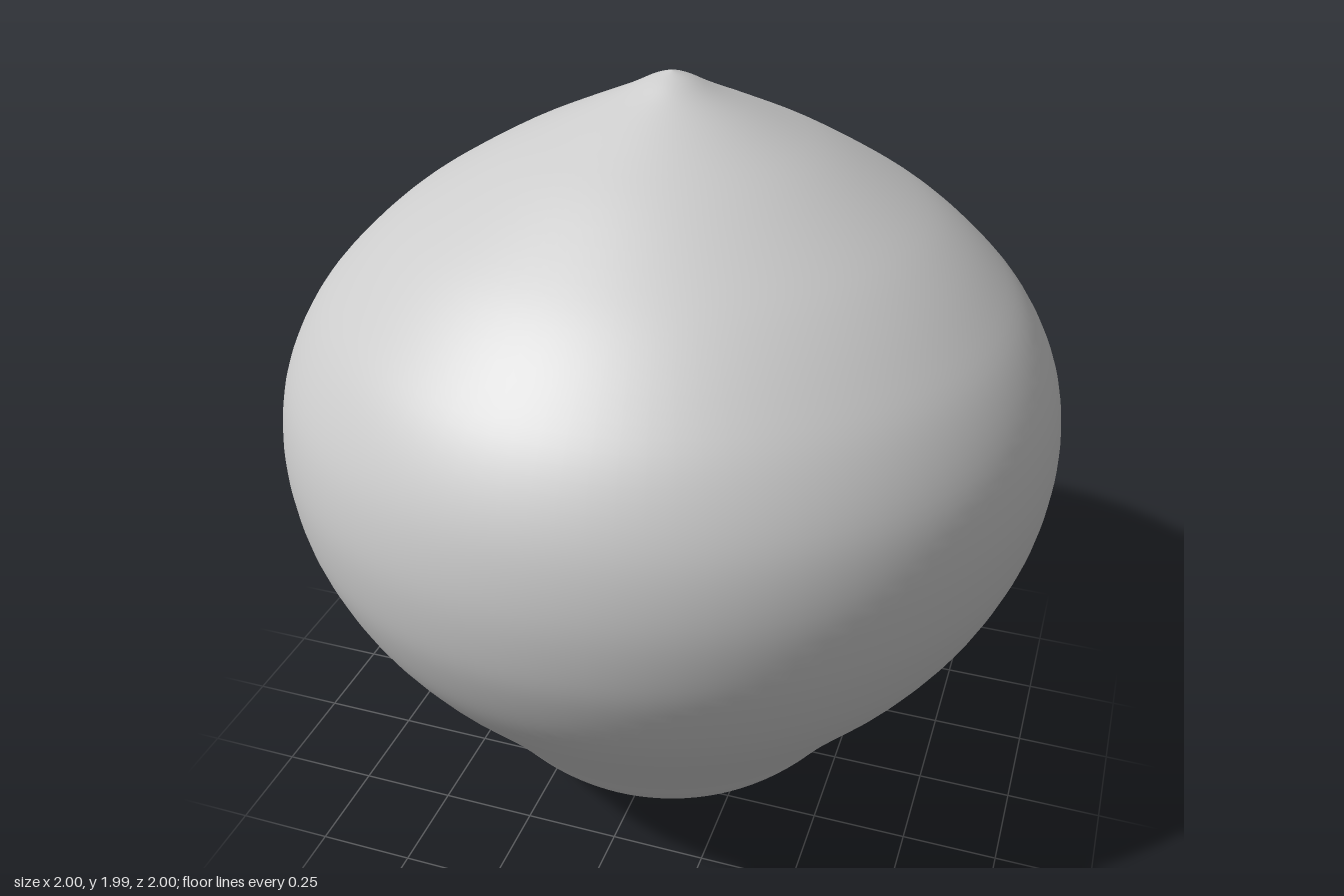
import * as THREE from 'three';

// Outer profile as [radius, height], from the underside to the tip
const PROFILE = [
  [0, 0], [0.1, 0.01], [0.22, 0.022], [0.35, 0.053], [0.43, 0.1], [0.5, 0.17],
  [0.57, 0.265], [0.64, 0.357], [0.72, 0.455], [0.805, 0.56], [0.89, 0.69],
  [0.95, 0.82], [0.985, 0.94], [1, 1.08], [0.987, 1.21], [0.95, 1.32],
  [0.885, 1.43], [0.8, 1.525], [0.7, 1.615], [0.59, 1.693], [0.41, 1.799],
  [0.25, 1.877], [0.12, 1.937], [0.05, 1.973], [0, 1.99],
];

export function createModel() {
  const group = new THREE.Group();
  group.name = 'bulb';

  // Smooth curve through the profile, kept on or outside the axis
  const curve = new THREE.SplineCurve(PROFILE.map(([r, y]) => new THREE.Vector2(r, y)));
  const points = curve.getPoints(96).map((p) => new THREE.Vector2(Math.max(p.x, 0), Math.max(p.y, 0)));

  // Bulb-shaped body with a narrow rounded base and a pointed top
  const body = new THREE.Mesh(
    new THREE.LatheGeometry(points, 96),
    new THREE.MeshStandardMaterial({ color: 0xcccccc }),
  );
  body.name = 'bulbBody';
  group.add(body);

  return group;
}
